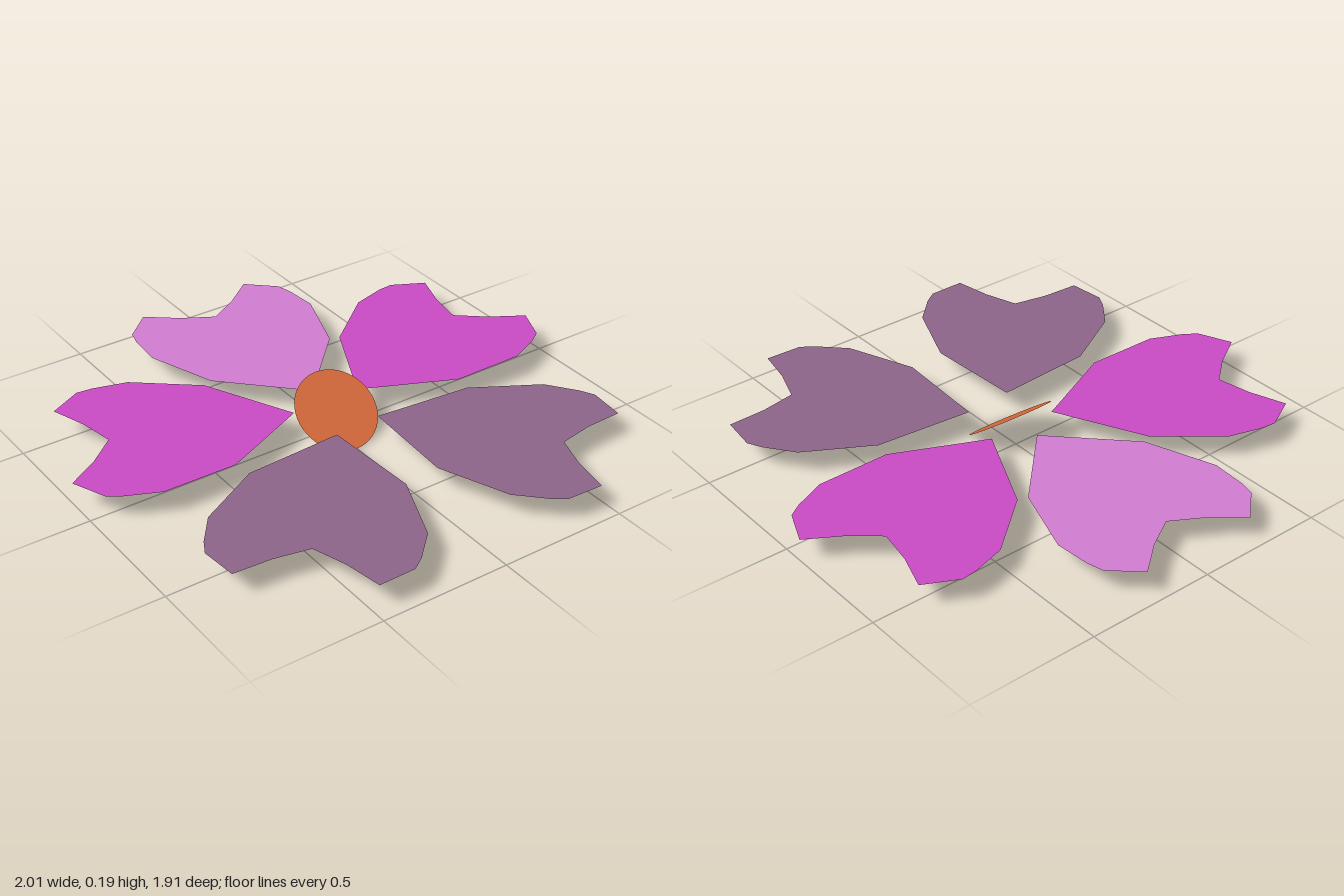
import * as THREE from 'three';

// Half outline of a petal: [sideways, outward] from its pointed base to its notch
const HALF = [[0.27, 0.275], [0.365, 0.545], [0.355, 0.68], [0.34, 0.74], [0.235, 0.837], [0.12, 0.745]];

// Base position on the ground plan, heading in degrees clockwise from the back, colour
const PETALS = [
  ['backPetal', 0, -0.12, 0, 0xd07bd0],
  ['leftPetal', 0.14, -0.035, 70, 0xc84ac4],
  ['rightPetal', -0.14, -0.035, -70, 0xc84ac4],
  ['frontLeftPetal', 0.095, 0.155, 139.5, 0x8d6489],
  ['frontRightPetal', -0.095, 0.17, -138, 0x8d6489],
];

const flat = (color) => new THREE.MeshStandardMaterial({ color, side: THREE.DoubleSide });

// Flat heart lying on the ground plan, its point at the origin, its notch towards -z
function petalGeometry() {
  const mirrored = HALF.map(([x, y]) => [-x, y]).reverse();
  const outline = [[0, 0], ...HALF, [0, 0.675], ...mirrored];
  const shape = new THREE.Shape(outline.map(([x, y]) => new THREE.Vector2(x, y)));
  return new THREE.ShapeGeometry(shape).rotateX(-Math.PI / 2);
}

export function createModel() {
  const flower = new THREE.Group();
  flower.name = 'flower';

  // Five heart-shaped petals
  const geometry = petalGeometry();
  for (const [name, x, z, heading, color] of PETALS) {
    const petal = new THREE.Mesh(geometry, flat(color));
    petal.name = name;
    petal.position.set(x, 0.101, z);
    petal.rotation.y = -THREE.MathUtils.degToRad(heading);
    flower.add(petal);
  }

  // Round centre, a thin disc tilted towards the front
  const centre = new THREE.Mesh(new THREE.CircleGeometry(0.162, 48), flat(0xd96c3c));
  centre.name = 'flowerCentre';
  centre.position.set(0, 0.098, 0.032);
  centre.rotation.x = -0.925;
  flower.add(centre);

  return flower;
}
